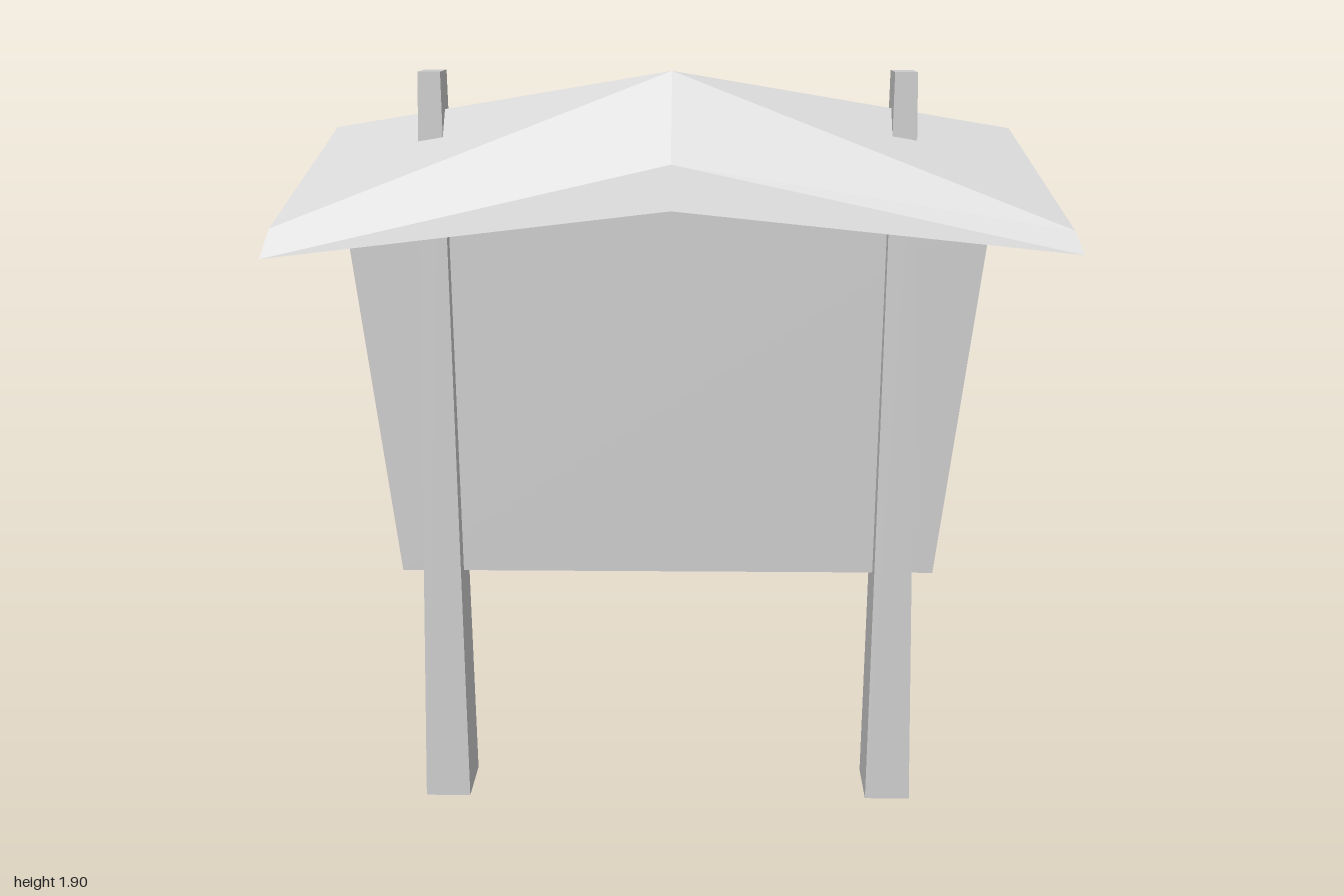
import * as THREE from 'three';

const material = new THREE.MeshStandardMaterial({ color: 0xcccccc, flatShading: true, side: THREE.DoubleSide });

function addPart(group, name, geometry) {
  const mesh = new THREE.Mesh(geometry, material);
  mesh.name = name;
  group.add(mesh);
  return mesh;
}

// Tapered post, open at the foot
function postGeometry() {
  const height = 1.905;
  const geometry = new THREE.BoxGeometry(1, height, 1).translate(0, height / 2, 0);
  const index = Array.from(geometry.index.array);
  index.splice(18, 6); // drop the bottom face
  geometry.setIndex(index);
  const p = geometry.attributes.position;
  for (let i = 0; i < p.count; i++) {
    const top = p.getY(i) > 1;
    p.setX(i, p.getX(i) * (top ? 0.056 : 0.117));
    p.setZ(i, p.getZ(i) * (top ? 0.12 : 0.187));
  }
  geometry.computeVertexNormals();
  return geometry;
}

// Board that widens upwards, its top tucked inside the roof
function boardGeometry() {
  const outline = [[-0.71, 0.61], [0.685, 0.61], [0.808, 1.58], [0.58, 1.62], [-0.6, 1.62], [-0.832, 1.58]];
  const shape = new THREE.Shape(outline.map(([x, y]) => new THREE.Vector2(x, y)));
  return new THREE.ExtrudeGeometry(shape, { depth: 0.05, bevelEnabled: false }).translate(0, 0, -0.025);
}

// Open hipped roof shell: ridge, eave bend and flared rim, six points each
function roofGeometry() {
  const ring = (x, yRight, yLeft, yMid, zEnd, zMid) => [
    [x, yRight, zEnd], [0, yMid, zMid], [-x, yLeft, zEnd],
    [-x, yLeft, -zEnd], [0, yMid, -zMid], [x, yRight, -zEnd],
  ].map((p) => new THREE.Vector3(...p));
  const rings = [
    ring(0.84, 1.765, 1.765, 1.905, 0, 0),
    ring(0.98, 1.535, 1.535, 1.687, 0.2, 0.148),
    ring(1, 1.48, 1.465, 1.577, 0.235, 0.18),
  ];
  const points = [];
  const triangle = (a, b, c) => {
    if (a.distanceTo(b) > 1e-6) points.push(a, b, c);
  };
  for (let r = 0; r < 2; r++) {
    for (let i = 0; i < 6; i++) {
      const j = (i + 1) % 6;
      const a = rings[r][i], b = rings[r][j], c = rings[r + 1][i], d = rings[r + 1][j];
      // Fold lines fan out from the middle of the roof
      if (j % 3 === 1) {
        triangle(a, b, c);
        triangle(b, d, c);
      } else {
        triangle(a, b, d);
        triangle(a, d, c);
      }
    }
  }
  const geometry = new THREE.BufferGeometry().setFromPoints(points);
  geometry.computeVertexNormals();
  return geometry;
}

export function createModel() {
  const model = new THREE.Group();
  model.name = 'noticeBoard';

  addPart(model, 'leftPost', postGeometry()).position.x = 0.576;
  addPart(model, 'rightPost', postGeometry()).position.x = -0.598;
  addPart(model, 'board', boardGeometry());
  addPart(model, 'roof', roofGeometry());

  return model;
}
